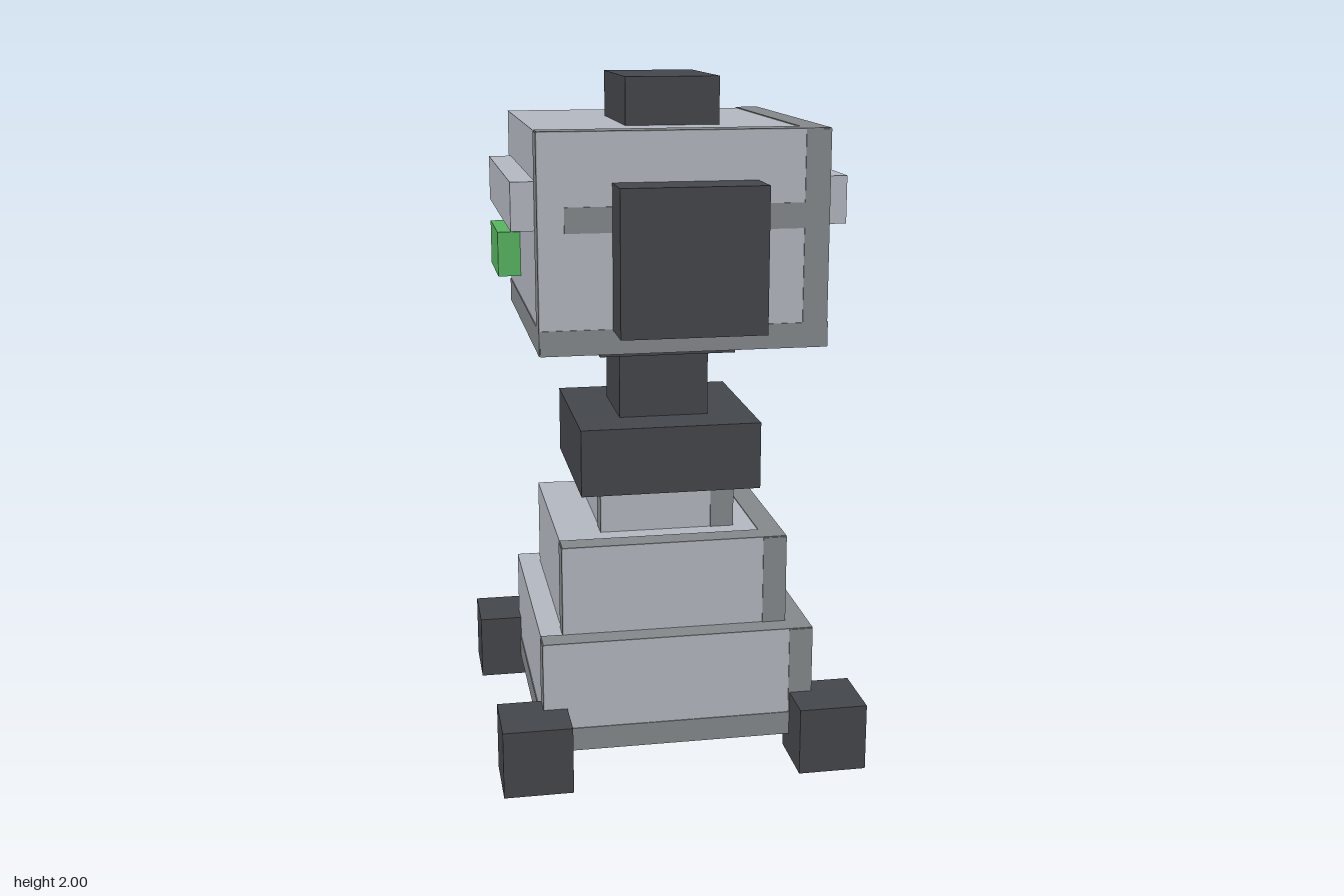
import * as THREE from 'three';

export function createModel() {
  const model = new THREE.Group();
  model.name = 'blockStatue';
  const mat = (name, color) => {
    const m = new THREE.MeshStandardMaterial({ color });
    m.name = name;
    return m;
  };
  const stone = mat('paleStone', 0xb4b9c1);
  const worn = mat('wornStone', 0x868a8c);
  const dark = mat('darkStone', 0x44474c);
  const green = mat('green', 0x58b661);

  // box from its minimum and maximum along each axis
  const box = (name, m, [x0, x1], [y0, y1], [z0, z1], parent = model) => {
    const mesh = new THREE.Mesh(new THREE.BoxGeometry(x1 - x0, y1 - y0, z1 - z0), m);
    mesh.position.set((x0 + x1) / 2, (y0 + y1) / 2, (z0 + z1) / 2);
    mesh.name = name;
    parent.add(mesh);
  };
  const T = 0.003, S = 0.07;

  // pale block with thin worn strips along face edges
  // sides: quarter turns that carry strips (0 front, 1 +x, 2 back, 3 -x)
  const wornBlock = (name, hx, hz, y0, y1, zc, sides, bottom) => {
    const block = new THREE.Group();
    block.name = name;
    block.position.z = zc;
    model.add(block);
    box(name + 'Body', stone, [-hx, hx], [y0, y1], [-hz, hz], block);
    for (const k of sides) {
      const face = new THREE.Group();
      face.name = name + 'Strips';
      face.rotation.y = k * Math.PI / 2;
      block.add(face);
      const w = k % 2 ? hz : hx, d = k % 2 ? hx : hz;
      box('endStrip', worn, [w - S, w], [y0, y1], [d, d + T], face);
      if (bottom) box('bottomStrip', worn, [-w, w - S], [y0, y0 + S], [d, d + T], face);
    }
    box('topSideStrip', worn, [hx - S, hx], [y1, y1 + T], [-hz, hz], block);
    box('topFrontStrip', worn, [-hx, hx - S], [y1, y1 + T], [hz - S, hz], block);
  };

  // stepped pedestal
  wornBlock('base', 0.4, 0.4, 0.067, 0.4, -0.033, [0, 1, 2, 3], true);
  wornBlock('middleTier', 0.333, 0.333, 0.4, 0.667, -0.033, [0, 1, 2, 3], false);
  wornBlock('upperTier', 0.2, 0.2, 0.667, 0.8, -0.033, [0, 1, 2, 3], false);

  // feet at the four corners
  for (const x of [-0.533, 0.333])
    for (const z of [-0.567, 0.3]) box('foot', dark, [x, x + 0.2], [0, 0.2], [z, z + 0.2]);

  // collar and neck
  box('collar', dark, [-0.267, 0.267], [0.8, 1.0], [-0.3, 0.233]);
  box('neck', dark, [-0.133, 0.133], [1.0, 1.2], [-0.167, 0.1]);
  box('neckPlate', dark, [-0.2, 0.2], [1.2, 1.267], [-0.233, 0.167]);

  // head with its face plate and crown
  wornBlock('head', 0.4, 0.433, 1.267, 1.867, 0, [0, 1, 3], true);
  box('browStrip', worn, [-0.33, 0.33], [1.6, 1.67], [0.433, 0.433 + T]);
  box('facePlate', dark, [-0.2, 0.2], [1.333, 1.733], [0.433, 0.567]);
  box('crown', dark, [-0.133, 0.133], [1.867, 2.0], [-0.167, 0.233]);

  // side rails and green lamps
  for (const s of [-1, 1]) {
    const x = s > 0 ? [0.4, 0.467] : [-0.467, -0.4];
    box('sideRail', stone, x, [1.6, 1.733], [-0.367, 0.367]);
    box('sideLamp', green, x, [1.4, 1.533], [-0.367, -0.1]);
  }
  return model;
}
